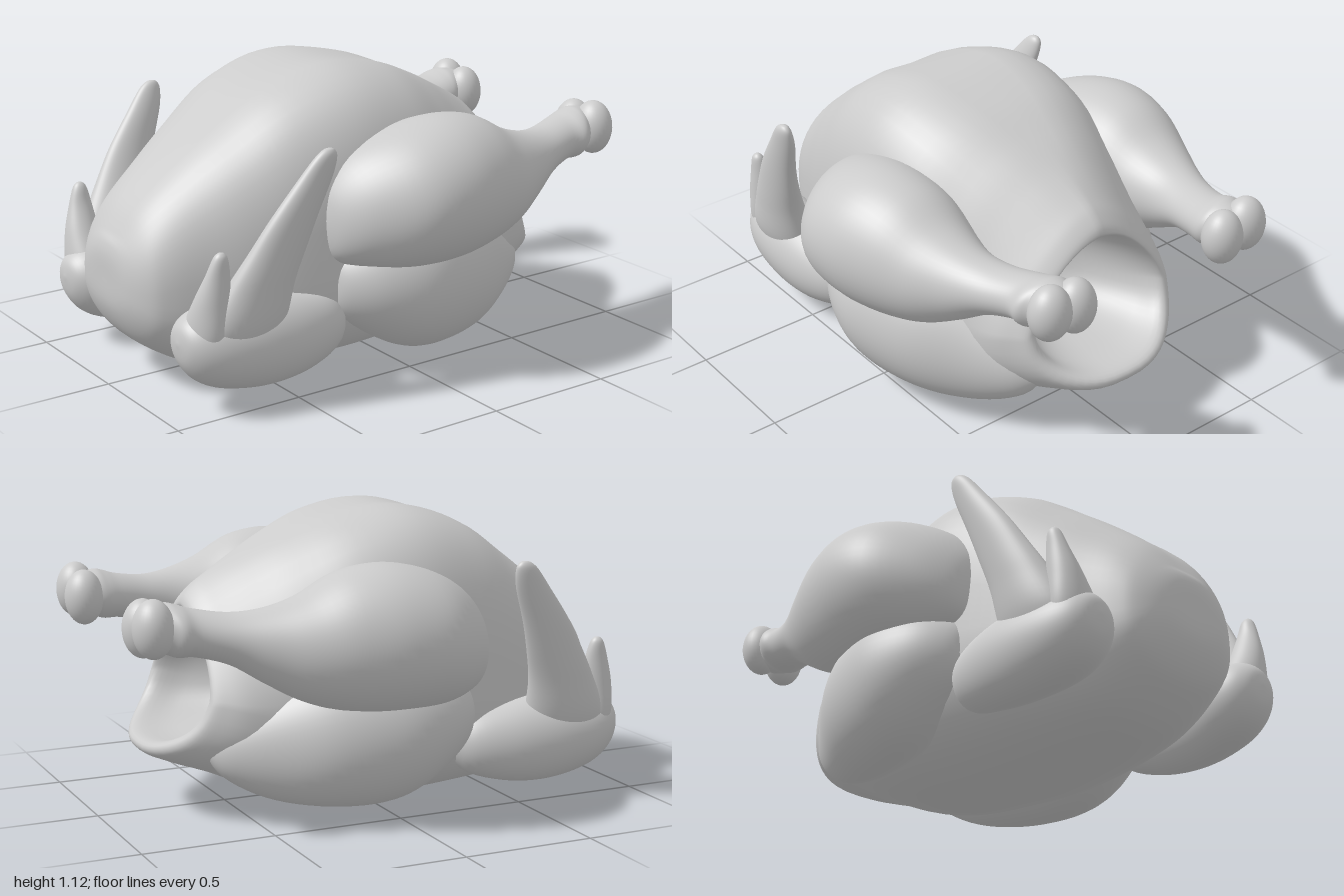
import * as THREE from 'three';
import { mergeVertices } from 'three/addons/utils/BufferGeometryUtils.js';

const material = new THREE.MeshStandardMaterial({ color: 0xcccccc, roughness: 0.7 });
const SEG = 48;

// Adds smooth in-between rows to a list of section parameters.
function smoothRows(rows, steps = 5) {
  const out = [];
  for (let i = 0; i < rows.length - 1; i++) {
    const p = rows[Math.max(i - 1, 0)], a = rows[i], b = rows[i + 1];
    const q = rows[Math.min(i + 2, rows.length - 1)];
    for (let s = 0; s < steps; s++) {
      const t = s / steps, t2 = t * t, t3 = t2 * t;
      out.push(a.map((v, k) => 0.5 * (2 * v + (b[k] - p[k]) * t
        + (2 * p[k] - 5 * v + 4 * b[k] - q[k]) * t2
        + (3 * v - p[k] - 3 * b[k] + q[k]) * t3)));
    }
  }
  out.push(rows[rows.length - 1]);
  return out;
}

// Skins closed rings; point(row, angle) gives one corner, side -1 mirrors in x.
function loft(name, rows, point, side = 1) {
  const pos = [], idx = [], rings = smoothRows(rows);
  rings.forEach((row, i) => {
    for (let j = 0; j < SEG; j++) {
      const [x, y, z] = point(row, (j / SEG) * Math.PI * 2);
      pos.push(x * side, y, z);
      if (i === rings.length - 1) continue;
      const a = i * SEG + j, b = i * SEG + (j + 1) % SEG, c = a + SEG, d = b + SEG;
      if (side > 0) idx.push(a, b, c, b, d, c);
      else idx.push(a, c, b, b, c, d);
    }
  });
  let geo = new THREE.BufferGeometry();
  geo.setAttribute('position', new THREE.Float32BufferAttribute(pos, 3));
  geo.setIndex(idx);
  geo = mergeVertices(geo, 1e-4);
  geo.computeVertexNormals();
  const mesh = new THREE.Mesh(geo, material);
  mesh.name = name;
  return mesh;
}

const power = (v, e) => Math.sign(v) * Math.pow(Math.abs(v), e);

// Sections across z: [z, centre x, centre y, radius x, radius y], front to back
const alongZ = ([z, cx, cy, rx, ry], t) => [
  cx + Math.max(rx, 0) * Math.sin(t), cy + Math.max(ry, 0) * Math.cos(t), z];
// Sections across y: [y, centre x, centre z, radius x, radius z], bottom to top
const alongY = ([y, cx, cz, rx, rz], t) => [
  cx + Math.max(rx, 0) * Math.sin(t), y, cz + Math.max(rz, 0) * Math.cos(t)];

// Tilted body sections: [top z, top y, bottom z, bottom y, half width, top roundness, bow]
function bodyPoint([zt, yt, zb, yb, w, e, bow], t) {
  const s = Math.sin(t), c = Math.cos(t), mid = 0.38;
  const k = c > 0 ? e : 0.8;
  const x = Math.max(w, 0) * power(s, k);
  const f = c > 0 ? mid + (1 - mid) * power(c, k) : mid + mid * power(c, k);
  const dip = c > 0 && w > 0.2 ? 0.012 * c * Math.exp(-((x / 0.09) ** 2)) : 0;
  return [x, yb + (yt - yb) * f - dip, zb + (zt - zb) * f + bow * s * s];
}

const bodyRows = [
  [1.0, 0.43, 1.0, 0.43, 0, 0.9, 0],
  [0.995, 0.53, 0.995, 0.32, 0.14, 0.9, 0],
  [0.95, 0.62, 0.95, 0.22, 0.24, 0.85, 0],
  [0.88, 0.71, 0.88, 0.15, 0.29, 0.8, 0],
  [0.75, 0.82, 0.75, 0.075, 0.34, 0.75, 0],
  [0.6, 0.93, 0.6, 0.04, 0.4, 0.7, 0],
  [0.4, 1.06, 0.4, 0.02, 0.46, 0.64, 0],
  [0.15, 1.13, 0.15, 0.01, 0.5, 0.62, 0],
  [-0.1, 1.1, -0.1, 0.03, 0.5, 0.72, 0],
  [-0.3, 1.03, -0.3, 0.05, 0.47, 0.95, 0],
  [-0.45, 0.96, -0.46, 0.09, 0.44, 1.2, 0.01],
  [-0.56, 0.9, -0.62, 0.16, 0.41, 1.4, 0.04],
  [-0.62, 0.86, -0.76, 0.21, 0.37, 1.45, 0.08],
  [-0.66, 0.81, -0.84, 0.25, 0.33, 1.45, 0.1],
  // rim turns inward to form the cavity
  [-0.645, 0.77, -0.82, 0.29, 0.29, 1.3, 0.1],
  [-0.5, 0.71, -0.66, 0.29, 0.24, 1.1, 0.06],
  [-0.32, 0.64, -0.4, 0.34, 0.14, 1, 0],
  [-0.25, 0.5, -0.25, 0.5, 0, 1, 0],
];

const drumstickRows = [
  [0.36, 0.43, 0.62, 0, 0],
  [0.335, 0.435, 0.62, 0.11, 0.12],
  [0.25, 0.45, 0.65, 0.21, 0.2],
  [0.1, 0.5, 0.68, 0.27, 0.25],
  [-0.08, 0.525, 0.7, 0.265, 0.27],
  [-0.25, 0.52, 0.7, 0.235, 0.25],
  [-0.4, 0.51, 0.685, 0.185, 0.19],
  [-0.53, 0.49, 0.7, 0.135, 0.135],
  [-0.65, 0.455, 0.73, 0.11, 0.093],
  [-0.77, 0.42, 0.755, 0.105, 0.085],
  [-0.83, 0.415, 0.765, 0.115, 0.093],
  [-0.87, 0.405, 0.775, 0.1, 0.09],
  [-0.93, 0.4, 0.775, 0.07, 0.07],
  [-0.95, 0.4, 0.775, 0, 0],
];

const thighRows = [
  [0.32, 0.4, 0.38, 0, 0],
  [0.3, 0.41, 0.375, 0.1, 0.1],
  [0.2, 0.43, 0.37, 0.18, 0.18],
  [0.05, 0.44, 0.35, 0.225, 0.25],
  [-0.1, 0.43, 0.34, 0.23, 0.275],
  [-0.3, 0.39, 0.32, 0.21, 0.25],
  [-0.48, 0.34, 0.29, 0.14, 0.18],
  [-0.62, 0.3, 0.28, 0.07, 0.09],
  [-0.68, 0.28, 0.28, 0, 0],
];

const wingRows = [
  [0.95, 0.42, 0.29, 0, 0],
  [0.935, 0.42, 0.28, 0.07, 0.07],
  [0.88, 0.42, 0.265, 0.12, 0.125],
  [0.78, 0.425, 0.25, 0.145, 0.155],
  [0.62, 0.44, 0.24, 0.14, 0.165],
  [0.45, 0.44, 0.235, 0.12, 0.145],
  [0.3, 0.41, 0.24, 0.09, 0.1],
  [0.22, 0.38, 0.25, 0, 0],
];

const wingTipRows = [
  [0.2, 0.45, 0.72, 0.06, 0.14],
  [0.33, 0.475, 0.71, 0.095, 0.165],
  [0.48, 0.515, 0.665, 0.075, 0.135],
  [0.6, 0.545, 0.615, 0.058, 0.115],
  [0.72, 0.57, 0.56, 0.045, 0.095],
  [0.85, 0.592, 0.488, 0.034, 0.068],
  [0.92, 0.605, 0.455, 0.025, 0.045],
  [0.947, 0.608, 0.445, 0.014, 0.022],
  [0.953, 0.608, 0.443, 0, 0],
];

const wingThumbRows = [
  [0.2, 0.41, 0.83, 0.1, 0.08],
  [0.32, 0.44, 0.845, 0.1, 0.075],
  [0.44, 0.475, 0.84, 0.065, 0.065],
  [0.54, 0.5, 0.83, 0.036, 0.045],
  [0.6, 0.51, 0.825, 0.024, 0.028],
  [0.62, 0.512, 0.824, 0.012, 0.014],
  [0.625, 0.512, 0.824, 0, 0],
];

// Two rounded lobes at the end of the leg bone
function legKnuckle(side) {
  const group = new THREE.Group();
  group.name = 'legKnuckle';
  for (const [x, y, rx] of [[0.345, 0.77, 0.078], [0.455, 0.785, 0.08]]) {
    const lobe = new THREE.Mesh(new THREE.SphereGeometry(1, 32, 20), material);
    lobe.name = 'knuckleLobe';
    lobe.scale.set(rx, 0.105, 0.073);
    lobe.position.set(x * side, y, -0.925);
    group.add(lobe);
  }
  return group;
}

export function createModel() {
  const model = new THREE.Group();
  model.name = 'roastBird';
  model.add(loft('body', bodyRows, bodyPoint));
  for (const side of [1, -1]) {
    const label = side > 0 ? 'left' : 'right';
    const leg = new THREE.Group();
    leg.name = label + 'Leg';
    leg.add(
      loft('drumstick', drumstickRows, alongZ, side),
      loft('thigh', thighRows, alongZ, side),
      legKnuckle(side));
    const wing = new THREE.Group();
    wing.name = label + 'Wing';
    wing.add(
      loft('upperWing', wingRows, alongZ, side),
      loft('wingTip', wingTipRows, alongY, side),
      loft('wingThumb', wingThumbRows, alongY, side));
    model.add(leg, wing);
  }
  return model;
}
